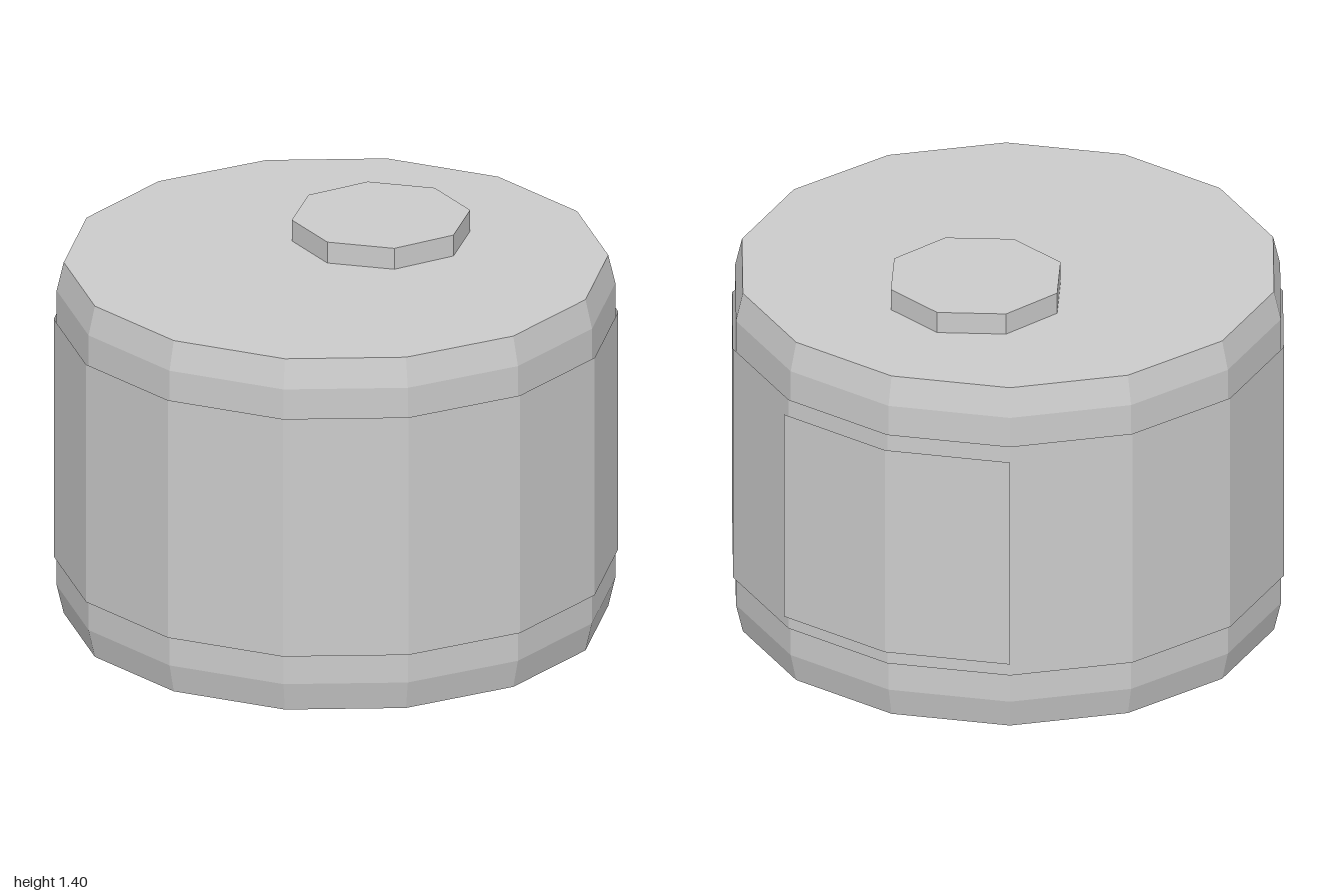
import * as THREE from 'three';

const SIDES = 14;
const STEP = (Math.PI * 2) / SIDES;
const CENTRE_X = -0.01;

function addMesh(group, name, geometry, x, y, side = THREE.FrontSide) {
  const material = new THREE.MeshStandardMaterial({ color: 0xcccccc, flatShading: true, side });
  const mesh = new THREE.Mesh(geometry, material);
  mesh.name = name;
  mesh.position.set(x, y, 0);
  group.add(mesh);
}

// Open faceted sleeve between two heights, with a corner on the +x axis
function addSleeve(group, name, radius, bottom, top, segments, start, sweep) {
  const geometry = new THREE.CylinderGeometry(radius, radius, top - bottom, segments, 1, true, start, sweep);
  addMesh(group, name, geometry, CENTRE_X, (top + bottom) / 2, THREE.DoubleSide);
}

export function createModel() {
  const model = new THREE.Group();
  model.name = 'canister';

  // Drum with bevelled top and bottom rims
  const profile = [[0, 0], [0.955, 0], [0.98, 0.106], [0.98, 1.22], [0.955, 1.326], [0, 1.326]]
    .map(([r, y]) => new THREE.Vector2(r, y));
  addMesh(model, 'body', new THREE.LatheGeometry(profile, SIDES, Math.PI / 2), CENTRE_X, 0);

  // Wrapper all the way round, and a panel over two facets on the left side
  addSleeve(model, 'wrapper', 0.99, 0.214, 1.112, SIDES, Math.PI / 2, Math.PI * 2);
  addSleeve(model, 'sidePanel', 1.01, 0.267, 1.06, 2, Math.PI / 2 - STEP, STEP * 2);

  // Octagonal cap, off centre on the lid
  const cap = new THREE.CylinderGeometry(0.316, 0.316, 0.09, 8, 1, false, Math.PI / 2);
  addMesh(model, 'cap', cap, 0.255, 1.36);

  return model;
}
